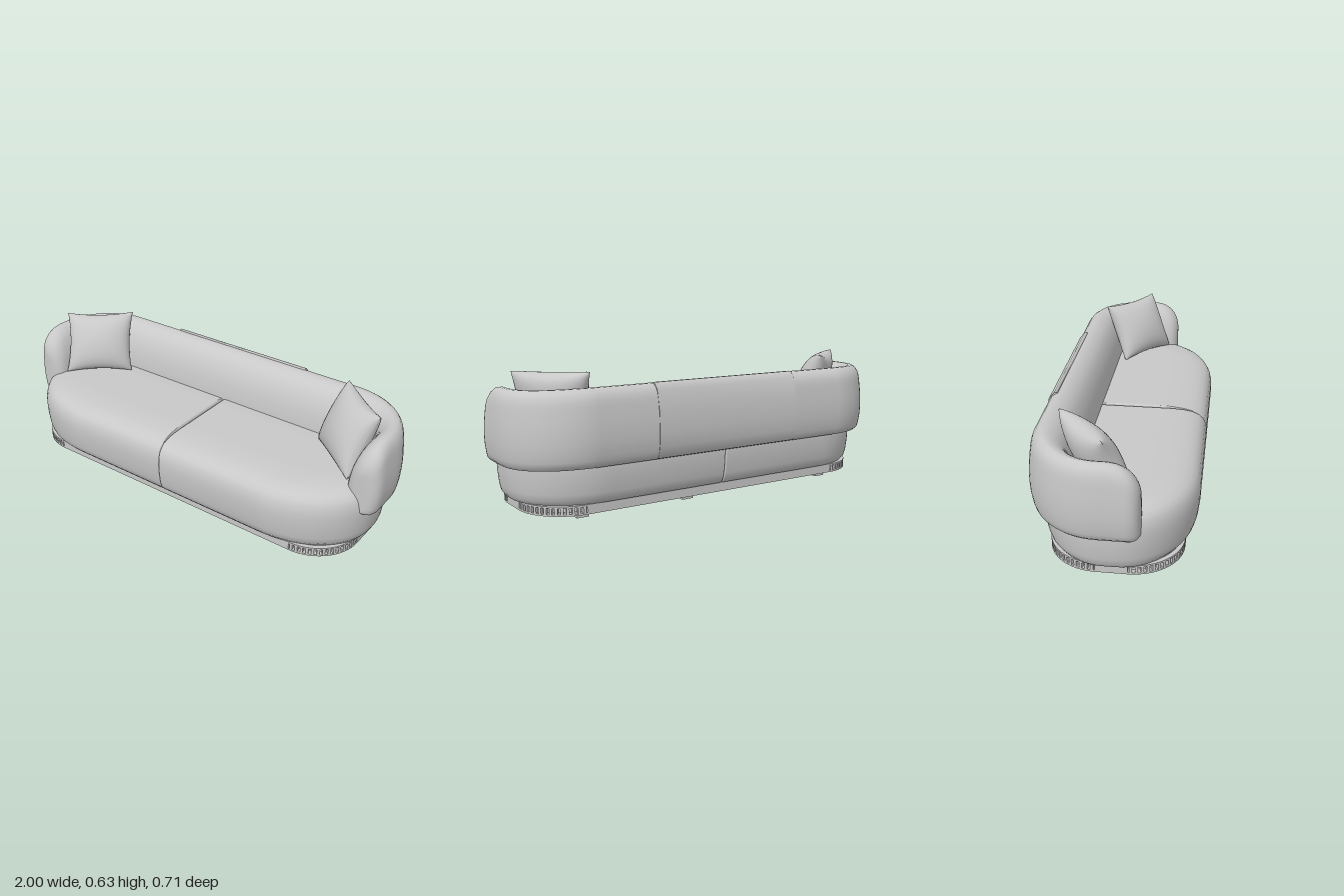
import * as THREE from 'three';

const upholstery = new THREE.MeshStandardMaterial({ color: 0xc8c8c8 });
upholstery.name = 'light grey';

const V = (x, y, z) => new THREE.Vector3(x, y, z);

function add(parent, name, geometry) {
  const mesh = new THREE.Mesh(geometry, upholstery);
  mesh.name = name;
  parent.add(mesh);
  return mesh;
}

// Skin a list of closed rings, with a flat fan on each end if capped
function loft(rings, capped = true) {
  const n = rings[0].length, pos = [], idx = [];
  rings.forEach(r => r.forEach(p => pos.push(p.x, p.y, p.z)));
  for (let i = 0; i < rings.length - 1; i++) {
    for (let j = 0; j < n; j++) {
      const k = (j + 1) % n, a = i * n + j, b = i * n + k, c = b + n, d = a + n;
      idx.push(a, b, c, a, c, d);
    }
  }
  if (capped) [rings[0], rings[rings.length - 1]].forEach((ring, end) => {
    const base = pos.length / 3, mid = V(0, 0, 0);
    ring.forEach(p => { pos.push(p.x, p.y, p.z); mid.addScaledVector(p, 1 / n); });
    pos.push(mid.x, mid.y, mid.z);
    for (let j = 0; j < n; j++) {
      const a = base + j, b = base + (j + 1) % n;
      if (end) idx.push(base + n, a, b); else idx.push(base + n, b, a);
    }
  });
  const g = new THREE.BufferGeometry();
  g.setAttribute('position', new THREE.Float32BufferAttribute(pos, 3));
  g.setIndex(idx);
  g.computeVertexNormals();
  return g;
}

// One seat cushion: big round outer corners, tight corners at the middle seam
function seatHalf(side) {
  // inset from the outline, height, gap at the seam
  const profile = [[0.055, 0.07, 0.002], [0.035, 0.076, 0.001], [0.018, 0.095, 0.0005], [0.009, 0.125, 0.0005],
    [0.002, 0.18, 0.0005], [0, 0.225, 0.0005], [0.002, 0.26, 0.0005], [0.01, 0.29, 0.0005], [0.022, 0.31, 0.001],
    [0.04, 0.326, 0.002], [0.07, 0.34, 0.004], [0.11, 0.348, 0.006], [0.16, 0.353, 0.009], [0.21, 0.355, 0.014]];
  const rings = profile.map(([inset, y, gap]) => {
    const ring = [], x1 = 0.955 - 0.8 * inset, zb = -0.312 + inset, zf = 0.357 - inset, s = 0.008;
    const corners = [[x1, zb, 0.37 - inset, 0.3 - inset], [gap, zb, s, s],
      [gap, zf, s, s], [x1, zf, 0.42 - inset, 0.32 - inset]];
    corners.forEach(([ex, ez, ax, az], k) => {
      const steps = ax > s ? 16 : 4;
      const cx = ex + (ax > s ? -ax : ax), cz = ez + (k < 2 ? az : -az);
      for (let i = 0; i <= steps; i++) {
        const t = (k + i / steps) * Math.PI / 2;
        ring.push(V(side * (cx + ax * Math.cos(t)), y, cz - az * Math.sin(t)));
      }
    });
    return side < 0 ? ring.reverse() : ring;
  });
  return loft(rings);
}

// Backrest and arms: an oval section (depth from outside, height) swept round a U
const BACK = -0.354;
function backrest() {
  const section = new THREE.CatmullRomCurve3([[0.055, 0.574], [0.024, 0.545], [0.006, 0.46], [0, 0.37], [0.005, 0.3],
    [0.02, 0.25], [0.055, 0.238], [0.14, 0.24], [0.18, 0.26], [0.195, 0.32], [0.19, 0.4], [0.17, 0.48],
    [0.135, 0.54], [0.09, 0.57]].map(([d, y]) => V(d, y, 0)), true).getSpacedPoints(40).slice(0, 40);
  const round = (p, e = 2) => Math.pow(1 - Math.pow(1 - Math.min(1, p), e), 1 / e);
  const cx = 0.66, cz = -0.03, rx = 0.34, rz = cz - BACK;
  const stations = [0, 0.001, 0.003, 0.007, 0.013, 0.023, 0.036, 0.052, 0.07, 0.095, 0.13]
    .map(s => ({ x: 1, z: 0.142 - s, nx: 1, nz: 0, w: 0.8, s }));
  for (let i = 0; i <= 18; i++) {
    const t = i / 18 * Math.PI / 2, n = new THREE.Vector2(Math.cos(t) / rx, -Math.sin(t) / rz).normalize();
    stations.push({ x: cx + rx * Math.cos(t), z: cz - rz * Math.sin(t), nx: n.x, nz: n.y,
      w: 0.8 + 0.2 * THREE.MathUtils.smoothstep(t, 0.2, 1.5), s: 1 });
  }
  const mirrored = stations.map(p => ({ ...p, x: -p.x, nx: -p.nx })).reverse();
  const rings = [...stations, ...mirrored].map(({ x, z, nx, nz, w, s }) => section.map(p => {
    const c = 0.0975 * w;
    const d = c + (p.x * w - c) * round(s / 0.065, 2.6);
    const f = p.y > 0.3 ? 0.48 + 0.52 * round(s / 0.13) : 0.6 + 0.4 * round(s / 0.035);
    // the arms sit a little lower than the back
    return V(x - nx * d, 0.3 + (p.y - 0.3) * f - (1 - w) * 0.045, z - nz * d);
  }));
  return loft(rings, false);
}

// Slightly raised centre panel wrapping over the back
function backPanel() {
  const section = [[0.06, 0.578], [0.045, 0.578], [0.02, 0.548], [0.002, 0.46], [-0.003, 0.37], [0.001, 0.3],
    [0.017, 0.248], [0.05, 0.25], [0.05, 0.4], [0.06, 0.55]];
  return loft([0.38, -0.38].map(x => section.map(([d, y]) => V(x, y, BACK + d))));
}

// Square cushion with pinched corners, leaning into a corner of the sofa
function pillow(side) {
  const N = 20, u = V(0.772, 0, side * 0.636), v = V(side * 0.07, 0.27, -0.105).normalize();
  const n = u.clone().cross(v).normalize(), centre = V(side * 0.741, 0.492, -0.066);
  const pos = [], idx = [];
  for (const face of [1, -1]) {
    const base = pos.length / 3;
    for (let j = 0; j <= N; j++) for (let i = 0; i <= N; i++) {
      const a = Math.sin((i / N - 0.5) * Math.PI), b = Math.sin((j / N - 0.5) * Math.PI);
      const thick = 0.078 * Math.pow(Math.max(0, (1 - a * a) * (1 - b * b)), 0.42);
      const p = centre.clone()
        .addScaledVector(u, 0.171 * a * (1 - 0.09 * (1 - b * b)))
        .addScaledVector(v, 0.155 * b * (1 - 0.09 * (1 - a * a)))
        .addScaledVector(n, face * thick);
      pos.push(p.x, p.y, p.z);
      if (i < N && j < N) {
        const q = base + j * (N + 1) + i, r = q + 1, s = r + N + 1, t = q + N + 1;
        if (face > 0) idx.push(q, r, s, q, s, t); else idx.push(q, s, r, q, t, s);
      }
    }
  }
  const g = new THREE.BufferGeometry();
  g.setAttribute('position', new THREE.Float32BufferAttribute(pos, 3));
  g.setIndex(idx);
  g.computeVertexNormals();
  return g;
}

// Flat slab with rounded corners lying between two heights, or a ring of the given width
const HX = 0.91, HZ = 0.287, R = 0.22, CZ = 0.017;
function outline(path, inset) {
  const x = HX - inset, z = HZ - inset, r = R - inset;
  [[1, 1], [-1, 1], [-1, -1], [1, -1]].forEach(([sx, sz], k) =>
    path.absarc(sx * (x - r), sz * (z - r), r, k * Math.PI / 2, (k + 1) * Math.PI / 2));
  return path;
}
function slab(inset, y0, y1, width = 0) {
  const shape = outline(new THREE.Shape(), inset);
  if (width) shape.holes.push(outline(new THREE.Path(), inset + width));
  return new THREE.ExtrudeGeometry(shape, { depth: y1 - y0, bevelEnabled: false, curveSegments: 14 })
    .rotateX(-Math.PI / 2).translate(0, y0, CZ);
}

function plinth() {
  const base = new THREE.Group();
  base.name = 'plinth';
  add(base, 'plinthCore', slab(0.02, 0.043, 0.078));
  add(base, 'plinthTopRail', slab(0, 0.067, 0.075, 0.03));
  add(base, 'plinthBottomRail', slab(0, 0.032, 0.04, 0.03));
  // Solid rails on the straight runs, upright slats round the corners
  for (const s of [1, -1]) {
    add(base, 'longRail', new THREE.BoxGeometry(2 * (HX - R), 0.042, 0.02).translate(0, 0.0535, CZ + s * (HZ - 0.01)));
    add(base, 'endRail', new THREE.BoxGeometry(0.02, 0.042, 2 * (HZ - R)).translate(s * (HX - 0.01), 0.0535, CZ));
    for (const t of [1, -1]) for (let i = 0; i < 14; i++) {
      const a = (i + 0.5) / 14 * Math.PI / 2, r = R - 0.01;
      const slat = add(base, 'slat', new THREE.BoxGeometry(0.02, 0.034, 0.012));
      slat.position.set(s * (HX - R + r * Math.cos(a)), 0.0535, CZ + t * (HZ - R + r * Math.sin(a)));
      slat.rotation.y = -s * t * a;
    }
  }
  return base;
}

export function createModel() {
  const sofa = new THREE.Group();
  sofa.name = 'sofa';
  for (const [name, side] of [['left', 1], ['right', -1]]) {
    add(sofa, name + 'SeatCushion', seatHalf(side));
    add(sofa, name + 'Pillow', pillow(side));
  }
  add(sofa, 'backrestAndArms', backrest());
  add(sofa, 'backPanel', backPanel());
  sofa.add(plinth());
  // Six short feet
  for (const x of [-0.68, 0.14, 0.68]) for (const z of [0.21, -0.172]) {
    add(sofa, 'foot', new THREE.BoxGeometry(0.058, 0.046, 0.06).translate(x, 0.023, z));
  }
  return sofa;
}
